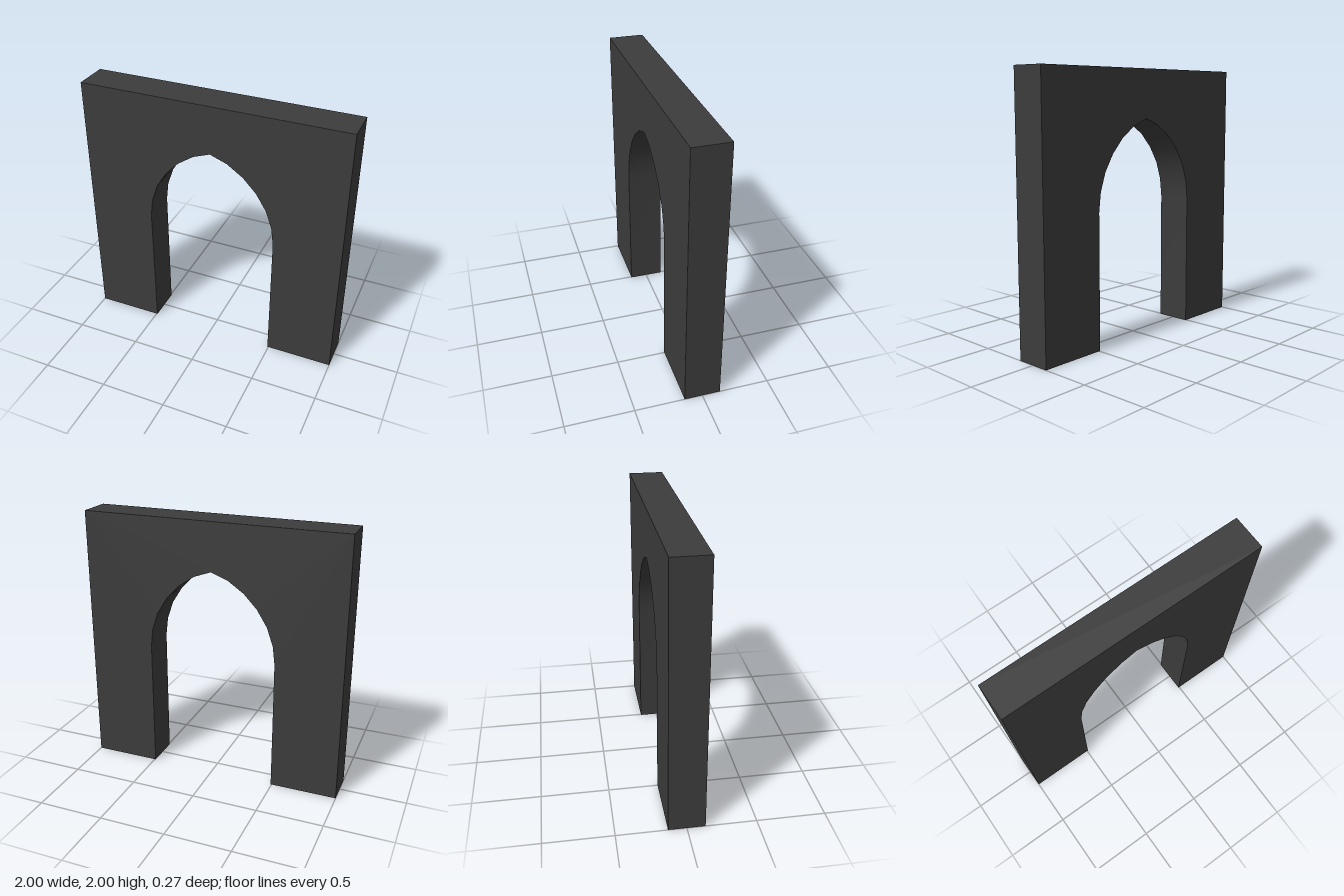
import * as THREE from 'three';
import { toCreasedNormals } from 'three/addons/utils/BufferGeometryUtils.js';

const DEPTH = 0.266;

export function createModel() {
  const charcoal = new THREE.MeshStandardMaterial({ color: 0x3c3c3c });
  charcoal.name = 'charcoal';

  // Left half of the pointed opening, from the floor up to the spring and apex
  const half = [
    [0.492, 0], [0.492, 1], [0.475, 1.14], [0.428, 1.277],
    [0.35, 1.402], [0.25, 1.507], [0.128, 1.59],
  ];
  const opening = [...half, [0, 1.637], ...half.map(([x, y]) => [-x, y]).reverse()];

  // Square wall outline with the doorway cut up from its base
  const outline = [[-1, 0], [-1, 2], [1, 2], [1, 0], ...opening];
  const shape = new THREE.Shape(outline.map(([x, y]) => new THREE.Vector2(x, y)));

  const slab = new THREE.ExtrudeGeometry(shape, { depth: DEPTH, bevelEnabled: false });
  slab.translate(0, 0, -DEPTH / 2);

  // Smooth the curved soffit while keeping the apex and outer edges sharp
  const wall = new THREE.Mesh(toCreasedNormals(slab, 0.5), charcoal);
  wall.name = 'archedWall';

  const group = new THREE.Group();
  group.name = 'pointedArchway';
  group.add(wall);
  return group;
}
